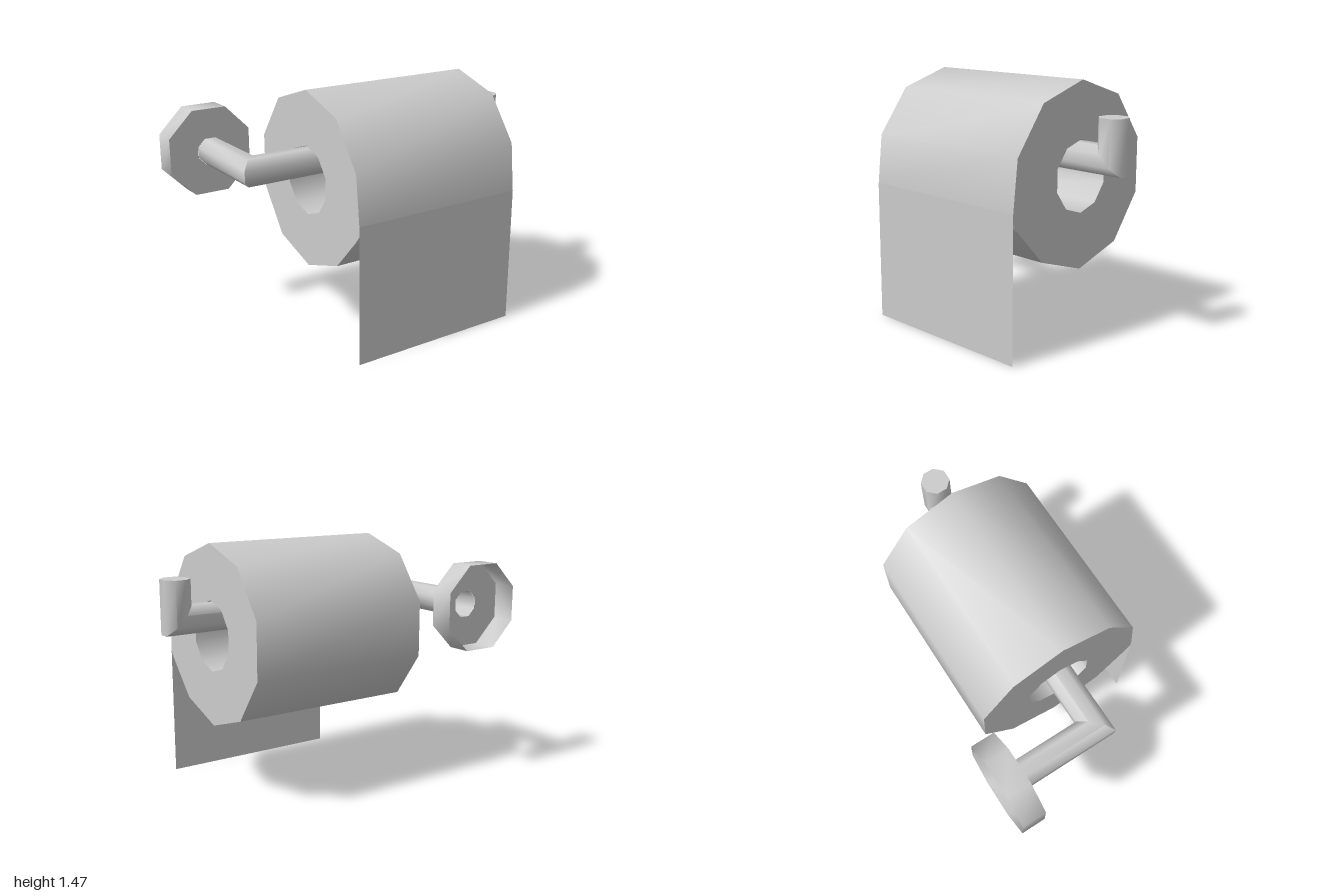
import * as THREE from 'three';
import { toCreasedNormals } from 'three/addons/utils/BufferGeometryUtils.js';

const CREASE = 0.9;
const material = new THREE.MeshStandardMaterial({ color: 0xcccccc, side: THREE.DoubleSide });

function part(name, geometry) {
  const mesh = new THREE.Mesh(toCreasedNormals(geometry, CREASE), material);
  mesh.name = name;
  return mesh;
}

// Roll axis and rod axis
const ROLL = { y: 0.943, z: 0.055, r: 0.522, hole: 0.204, x0: -0.39, x1: 0.71 };
const ROD = { y: 1.057, z: 0.055, r: 0.0775 / Math.cos(Math.PI / 8) };
const ARM_X = -0.745, POST_X = 0.922, PLATE_Z = -0.442, POST_TOP = 1.285;

// Ten-sided roll, bulging at the front where the loose sheet leaves it
function rollGeometry() {
  const decagon = (r) => Array.from({ length: 10 }, (_, i) => {
    const t = (i * Math.PI) / 5;
    return new THREE.Vector2(-(ROLL.z + r * Math.sin(t)), ROLL.y + r * Math.cos(t));
  });
  const outline = decagon(ROLL.r);
  outline.splice(3, 1,
    new THREE.Vector2(-0.582, 0.82),
    new THREE.Vector2(-0.582, 0.765),
    new THREE.Vector2(-0.55, 0.722));
  const shape = new THREE.Shape(outline);
  shape.holes.push(new THREE.Path(decagon(ROLL.hole)));
  return new THREE.ExtrudeGeometry(shape, { depth: ROLL.x1 - ROLL.x0, bevelEnabled: false })
    .rotateY(Math.PI / 2)
    .translate(ROLL.x0, 0, 0);
}

// Octagonal bar swept along the arm, the rod and the upright end, with mitred elbows
function barGeometry() {
  const n = 8, positions = [], index = [];
  const rings = [
    (a, b) => [ARM_X + a, ROD.y + b, PLATE_Z],
    (a, b) => [ARM_X + a, ROD.y + b, ROD.z - a],
    (a, b) => [POST_X - b, ROD.y + b, ROD.z - a],
    (a, b) => [POST_X - b, POST_TOP, ROD.z - a],
  ];
  for (const ring of rings) {
    for (let i = 0; i < n; i++) {
      const t = ((i + 0.5) / n) * Math.PI * 2;
      positions.push(...ring(ROD.r * Math.cos(t), ROD.r * Math.sin(t)));
    }
  }
  const last = (rings.length - 1) * n, centre = rings.length * n;
  positions.push(POST_X, POST_TOP, ROD.z);
  for (let i = 0; i < n; i++) {
    const j = (i + 1) % n;
    for (let k = 0; k < last; k += n) {
      index.push(k + i, k + j, k + n + j, k + i, k + n + j, k + n + i);
    }
    index.push(centre, last + i, last + j);
  }
  const geometry = new THREE.BufferGeometry();
  geometry.setAttribute('position', new THREE.Float32BufferAttribute(positions, 3));
  geometry.setIndex(index);
  return geometry;
}

// Octagonal wall cup, open at the back and pierced where the arm joins
function plateGeometry() {
  const r = 0.253 / Math.cos(Math.PI / 8);
  const profile = [[r, -0.585], [r, PLATE_Z], [ROD.r, PLATE_Z]].map((p) => new THREE.Vector2(...p));
  return new THREE.LatheGeometry(profile, 8, Math.PI / 8)
    .rotateX(Math.PI / 2)
    .translate(ARM_X - 0.002, ROD.y, 0);
}

export function createModel() {
  const model = new THREE.Group();
  model.name = 'toiletRollHolder';

  // Loose sheet hanging down the front
  const width = ROLL.x1 - ROLL.x0, drop = 0.82;
  const sheet = new THREE.PlaneGeometry(width, drop)
    .translate(ROLL.x0 + width / 2, drop / 2, 0.583);

  model.add(
    part('paperRoll', rollGeometry()),
    part('hangingSheet', sheet),
    part('holderBar', barGeometry()),
    part('wallPlate', plateGeometry()),
  );
  return model;
}
